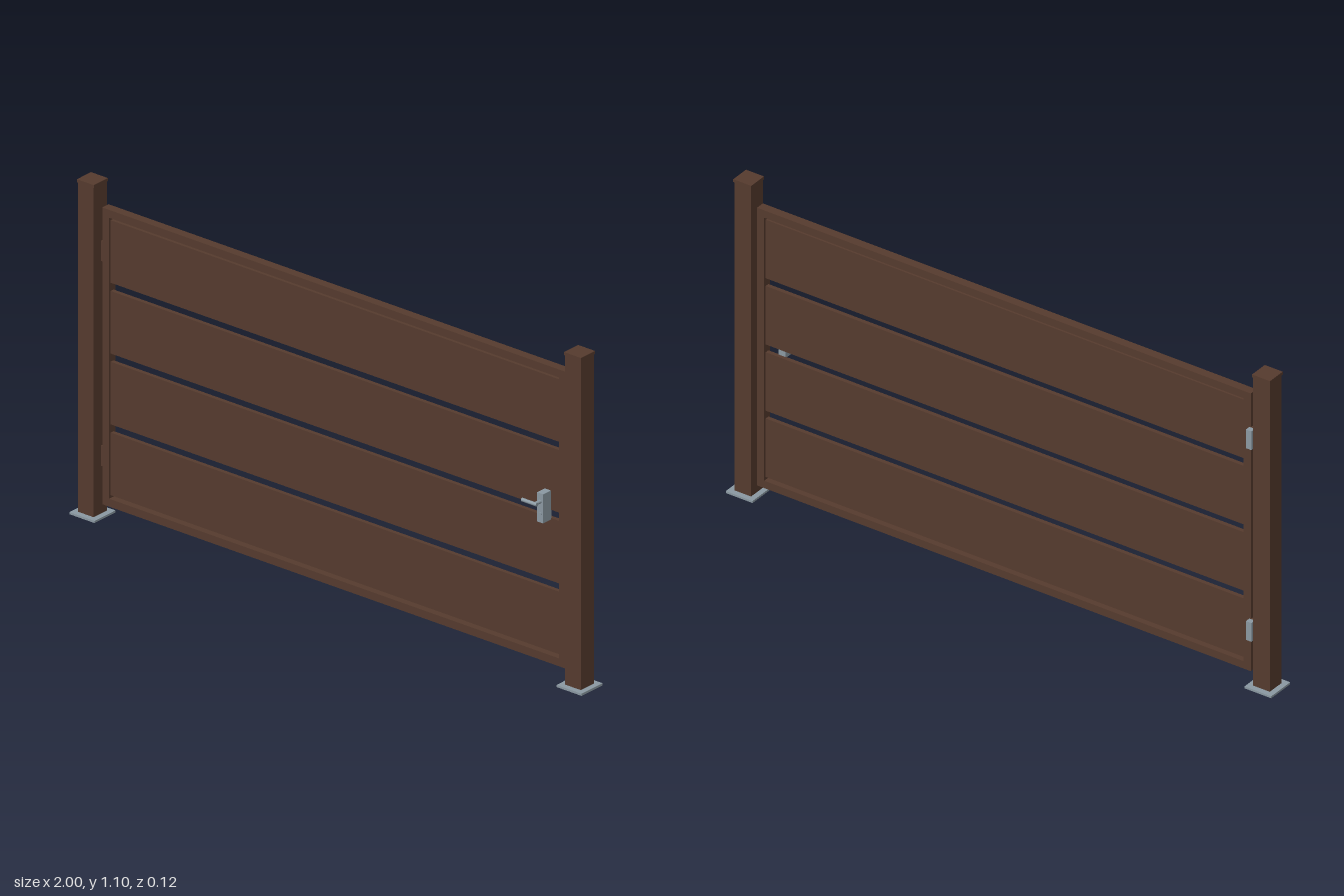
import * as THREE from 'three';

export function createModel() {
  const gate = new THREE.Group();
  gate.name = 'gate';
  const brown = new THREE.MeshStandardMaterial({ color: 0x563b2e });
  brown.name = 'brown coating';
  const steel = new THREE.MeshStandardMaterial({ color: 0x8c9aa3 });
  steel.name = 'steel';

  function add(name, geometry, material, x, y, z) {
    const mesh = new THREE.Mesh(geometry, material);
    mesh.name = name;
    mesh.position.set(x, y, z);
    gate.add(mesh);
    return mesh;
  }
  // Box given by its lower and upper corner
  function box(name, material, [x0, y0, z0], [x1, y1, z1]) {
    return add(name, new THREE.BoxGeometry(x1 - x0, y1 - y0, z1 - z0), material,
      (x0 + x1) / 2, (y0 + y1) / 2, (z0 + z1) / 2);
  }

  // Posts with base plates and flat caps
  for (const [side, s] of [['left', 1], ['right', -1]]) {
    const x = 0.951 * s, z = -0.009;
    add(side + 'BasePlate', new THREE.BoxGeometry(0.098, 0.007, 0.098), steel, x, 0.0035, z);
    add(side + 'Post', new THREE.BoxGeometry(0.061, 1.086, 0.061), brown, x, 0.55, z);
    add(side + 'PostCap', new THREE.BoxGeometry(0.066, 0.01, 0.066), brown, x, 1.098, z);
  }

  // Rectangular leaf frame
  const shape = new THREE.Shape([[-0.905, 0.047], [0.905, 0.047], [0.905, 1.025], [-0.905, 1.025]]
    .map(([x, y]) => new THREE.Vector2(x, y)));
  shape.holes.push(new THREE.Path([[-0.879, 0.073], [-0.879, 0.999], [0.879, 0.999], [0.879, 0.073]]
    .map(([x, y]) => new THREE.Vector2(x, y))));
  add('leafFrame', new THREE.ExtrudeGeometry(shape, { depth: 0.03, bevelEnabled: false }),
    brown, 0, 0, -0.03);

  // Four wide boards with open gaps
  for (let i = 0; i < 4; i++) {
    const y = 0.082 + i * 0.2333;
    box('board' + (i + 1), brown, [-0.88, y, -0.022], [0.88, y + 0.206, -0.008]);
  }

  // Hinges on the back, each with a spacer in the gap
  for (const y of [0.165, 0.84]) {
    box('hinge', steel, [-0.92, y, -0.048], [-0.9, y + 0.066, -0.03]);
    box('hingeSpacer', brown, [-0.921, y, -0.03], [-0.904, y + 0.066, -0.012]);
  }

  // Lock case, lever handle and key cylinder
  box('lockCase', steel, [0.816, 0.516, -0.01], [0.84, 0.612, 0.028]);
  const stem = add('handleStem', new THREE.CylinderGeometry(0.006, 0.006, 0.028, 16), steel, 0.828, 0.585, 0.04);
  stem.rotation.x = Math.PI / 2;
  const lever = add('handleLever', new THREE.CylinderGeometry(0.006, 0.006, 0.058, 16), steel, 0.807, 0.585, 0.052);
  lever.rotation.z = Math.PI / 2;
  const key = add('keyCylinder', new THREE.CylinderGeometry(0.006, 0.006, 0.004, 16), steel, 0.828, 0.545, 0.029);
  key.rotation.x = Math.PI / 2;

  return gate;
}
